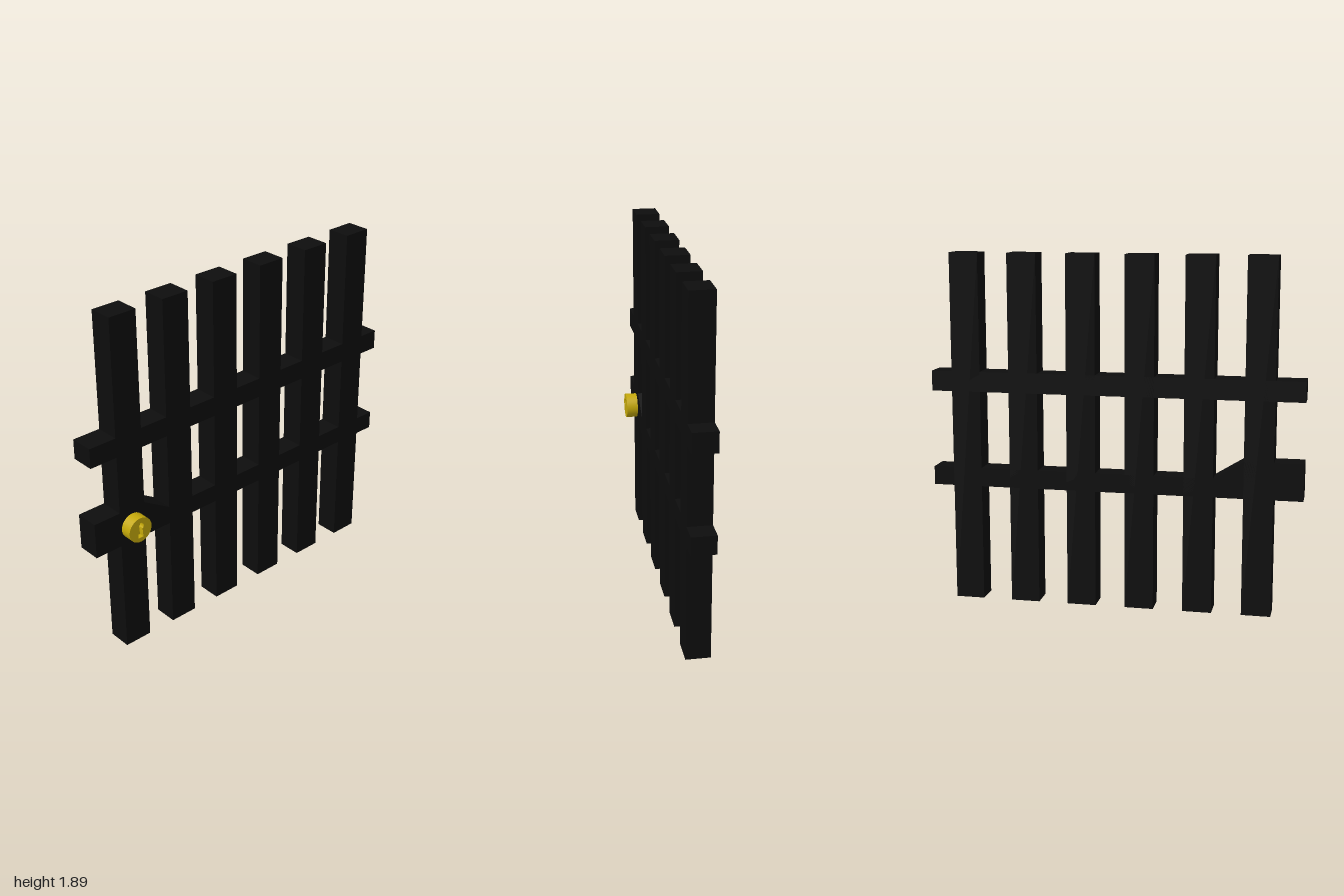
import * as THREE from 'three';
import { toCreasedNormals } from 'three/addons/utils/BufferGeometryUtils.js';

const BACK = -0.097, FRONT = 0.032, DEPTH = FRONT - BACK;

export function createModel() {
  const gate = new THREE.Group();
  gate.name = 'barredGate';
  const iron = new THREE.MeshStandardMaterial({ color: 0x0d0d0d });
  const brass = new THREE.MeshStandardMaterial({ color: 0xc4a80a });

  const add = (name, geometry, material, x = 0, y = 0, z = 0) => {
    const mesh = new THREE.Mesh(geometry, material);
    mesh.name = name;
    mesh.position.set(x, y, z);
    gate.add(mesh);
    return mesh;
  };

  // Six upright bars
  const barGeometry = new THREE.BoxGeometry(0.156, 1.895, DEPTH);
  for (let i = 0; i < 6; i++) {
    add(`bar${i + 1}`, barGeometry, iron, -0.767 + i * 0.3155, 0.9475, (BACK + FRONT) / 2);
  }

  // Upper rail, flush with the bars
  add('upperRail', new THREE.BoxGeometry(2, 0.108, DEPTH), iron, 0, 1.208, (BACK + FRONT) / 2);

  // Lower rail, widening into the lock plate at one end
  const railShape = new THREE.Shape([
    [-1, 0.635], [1, 0.635], [1, 0.735], [-0.53, 0.735], [-0.688, 0.832], [-1, 0.832],
  ].map(([x, y]) => new THREE.Vector2(x, y)));
  add('lowerRailWithLockPlate',
    new THREE.ExtrudeGeometry(railShape, { depth: DEPTH, bevelEnabled: false }),
    iron, 0, 0, BACK);

  // Keyhole outline: round top with a flared slot below
  const keyhole = (Type) => {
    const path = new Type();
    path.moveTo(-0.016, -0.045);
    path.lineTo(0.016, -0.045);
    path.lineTo(0.012, 0.005);
    path.absarc(0, 0.021, 0.021, -0.87, Math.PI + 0.87, false);
    path.closePath();
    return path;
  };

  // Round lock with a recessed keyhole
  const lockShape = new THREE.Shape().absarc(0, 0, 0.07, 0, Math.PI * 2, false);
  lockShape.holes.push(keyhole(THREE.Path));
  const lockGeometry = new THREE.ExtrudeGeometry(lockShape, {
    depth: 0.063, bevelEnabled: false, curveSegments: 16,
  });
  add('lockCylinder', toCreasedNormals(lockGeometry, 0.6), brass, -0.767, 0.73, FRONT);
  add('keyholeFloor', new THREE.ShapeGeometry(keyhole(THREE.Shape), 16), brass,
    -0.767, 0.73, FRONT + 0.035);

  return gate;
}
